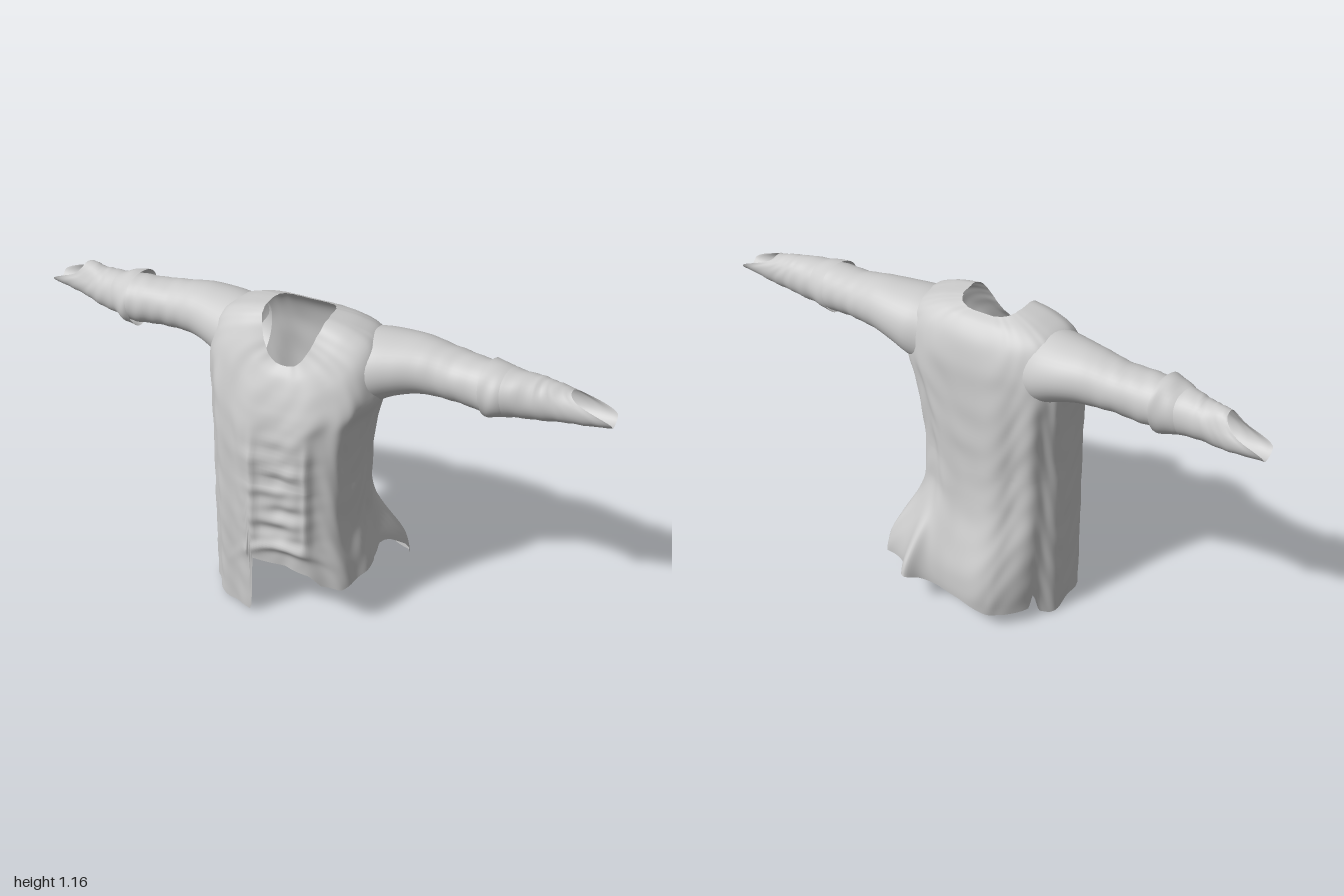
import * as THREE from 'three';

const { lerp, smoothstep, clamp } = THREE.MathUtils;
const bump = (v, centre, width) => Math.exp(-(((v - centre) / width) ** 2));
const power = (v, p) => Math.sign(v) * Math.abs(v) ** p;

// Smooth interpolation through a table of rows at a fractional row index
function sample(table, v) {
  const n = table.length - 1;
  const i = clamp(Math.floor(v), 0, n - 1), t = v - i;
  const row = (k) => table[clamp(k, 0, n)];
  return table[0].map((_, c) => {
    const a = row(i - 1)[c], b = row(i)[c], d = row(i + 1)[c], e = row(i + 2)[c];
    return b + 0.5 * t * (d - a + t * (2 * a - 5 * b + 4 * d - e + t * (3 * (b - d) + e - a)));
  });
}

// Straight interpolation in a list of [key, value] pairs
function along(pairs, key) {
  let i = 0;
  while (i < pairs.length - 2 && key > pairs[i + 1][0]) i++;
  const [k0, v0] = pairs[i], [k1, v1] = pairs[i + 1];
  return lerp(v0, v1, clamp((key - k0) / (k1 - k0), 0, 1));
}

const cloth = new THREE.MeshStandardMaterial({ color: 0xcccccc, side: THREE.DoubleSide, roughness: 0.9 });

// Closed loops of points joined into an open tube; skip() leaves holes
function loopSurface(name, rows, cols, point, skip = () => false) {
  const pos = [], index = [];
  for (let i = 0; i <= rows; i++)
    for (let j = 0; j < cols; j++) pos.push(...point(i / rows, (j / cols) * Math.PI * 2));
  for (let i = 0; i < rows; i++)
    for (let j = 0; j < cols; j++) {
      const k = (j + 1) % cols;
      const a = i * cols + j, b = i * cols + k, c = a + cols, d = b + cols;
      if (skip(pos[a * 3], pos[a * 3 + 1], pos[a * 3 + 2])) continue;
      index.push(a, b, c, b, d, c);
    }
  const geo = new THREE.BufferGeometry();
  geo.setAttribute('position', new THREE.Float32BufferAttribute(pos, 3));
  geo.setIndex(index);
  geo.computeVertexNormals();
  const mesh = new THREE.Mesh(geo, cloth);
  mesh.name = name;
  return mesh;
}

// Body rings from neck to hem: xRight, xLeft, zFront, zBack, yFront, ySide, yBack
const bodyRings = [
  [-0.12, 0.095, 0.178, -0.035, 1.01, 1.158, 1.14],
  [-0.20, 0.18, 0.205, -0.07, 0.98, 1.14, 1.12],
  [-0.27, 0.25, 0.228, -0.105, 0.935, 1.105, 1.07],
  [-0.305, 0.28, 0.246, -0.126, 0.89, 1.03, 1.0],
  [-0.315, 0.285, 0.26, -0.133, 0.85, 0.94, 0.92],
  [-0.308, 0.255, 0.272, -0.138, 0.79, 0.85, 0.82],
  [-0.303, 0.235, 0.28, -0.143, 0.7, 0.73, 0.71],
  [-0.303, 0.228, 0.28, -0.145, 0.6, 0.6, 0.6],
  [-0.308, 0.23, 0.282, -0.16, 0.4, 0.4, 0.4],
  [-0.315, 0.265, 0.275, -0.16, 0.2, 0.2, 0.2],
  [-0.32, 0.27, 0.265, -0.14, 0, 0, 0],
];

// Hem height by angle in degrees: 0 left side, 90 front, 180 right side, 270 back
const hemLine = [
  [0, 0.22], [40, 0.18], [56, 0.2], [64, 0.25], [80, 0.27], [100, 0.27], [103, 0.02], [125, 0.01], [150, 0.03],
  [180, 0.025], [203, 0.0], [215, 0.03], [219, 0.13], [223, 0.07], [250, 0.07], [290, 0.13],
  [302, 0.15], [318, 0.12], [333, 0.11], [341, 0.23], [350, 0.25], [360, 0.22],
];

function bodyPoint(t, angle) {
  const deg = THREE.MathUtils.radToDeg(angle);
  const cos = Math.cos(angle), sin = Math.sin(angle);
  let v = t * 2 * 7;
  if (t > 0.5) v = 7 + ((t - 0.5) * 2 * (0.6 - along(hemLine, deg))) / 0.2;
  const [xR, xL, zF, zB, yF, yS, yB] = sample(bodyRings, v);
  const y = yS + ((sin > 0 ? yF : yB) - yS) * sin * sin;
  // Squarer at the neck front and across the shoulder blades
  const square = sin > 0 ? lerp(0.74, 0.85, smoothstep(v, 0, 2)) : lerp(0.76, 0.62, smoothstep(y, 0.55, 0.9));
  const p = lerp(0.85, square, smoothstep(Math.abs(sin), 0, 0.4));
  let x = (xL + xR) / 2 + ((xL - xR) / 2) * power(cos, p);
  let z = (zF + zB) / 2 + ((zF - zB) / 2) * power(sin, p);

  // Back tail swings outwards below the waist
  const low = 1 - smoothstep(y, 0.1, 0.48);
  const tail = smoothstep(deg, 213, 248) * (1 - smoothstep(deg, 334, 346));
  z -= low * tail * (0.085 + 0.09 * bump(deg, 302, 10) + 0.03 * bump(deg, 333, 10));
  x += low * tail * 0.07 * smoothstep(deg, 308, 332);

  // Front bands, crumpled cloth between them and the rolled front hem
  const front = smoothstep(sin, 0.5, 0.9);
  const belly = smoothstep(y, 0.3, 0.42) * (1 - smoothstep(y, 0.68, 0.84));
  z += front * belly * 0.01 * (bump(x, -0.085, 0.014) + bump(x, 0.105, 0.014));
  const crumple = Math.sin(y * 58 + 9 * x) + 0.7 * Math.sin(y * 97 - 14 * x + 1);
  z += front * belly * bump(x, 0.01, 0.09) * 0.005 * crumple;
  z += front * 0.016 * bump(y, 0.36 - 3 * (x - 0.03) ** 2, 0.022) * bump(x, 0.03, 0.14);

  // Hanging folds and faint uneven wrinkles
  const hang = (1 - smoothstep(y, 0.85, 1.05)) * 0.005;
  const fold = hang * Math.sin(deg * 0.2 + 0.7 * Math.sin(y * 4)) +
    0.0015 * Math.sin(y * 41 + 5 * Math.sin(deg / 13)) * Math.sin(deg / 7 + y * 9);
  return [x + cos * fold, y, z + sin * fold];
}

// Sleeve sections from shoulder to wrist: x, yLow, yHigh, zBack, zFront
const sleeveRings = [
  [0.2, 0.86, 1.115, -0.106, 0.16],
  [0.25, 0.878, 1.12, -0.115, 0.152],
  [0.32, 0.915, 1.12, -0.112, 0.128],
  [0.4, 0.938, 1.118, -0.1, 0.102],
  [0.5, 0.943, 1.103, -0.085, 0.09],
  [0.6, 0.935, 1.097, -0.075, 0.095],
  [0.66, 0.935, 1.095, -0.068, 0.095],
  [0.74, 0.943, 1.087, -0.062, 0.075],
  [0.85, 0.955, 1.08, -0.055, 0.055],
  [1.0, 0.975, 1.065, -0.045, 0.04],
];

function sleevePoint(side, t, angle, flare = 0) {
  let [x, y0, y1, z0, z1] = sample(sleeveRings, t * (sleeveRings.length - 1));
  const up = Math.sin(angle), across = -side * Math.cos(angle);
  const crease = flare + 0.002 * Math.sin(x * 75 + 3 * across) * Math.sin(x * 31 + 2 * up) * smoothstep(x, 0.35, 0.5);
  let y = (y0 + y1) / 2 + ((y1 - y0) / 2 + crease) * up;
  let z = (z0 + z1) / 2 + ((z1 - z0) / 2 + crease) * across;
  // Slanted wrist opening: short on top, long underneath
  if (x > 0.75) x = 0.75 + (x - 0.75) * (1 - 0.55 * smoothstep(up, -0.6, 1));
  if (side < 0) {
    z -= 0.025 * smoothstep(x, 0.75, 0.95);
    y += 0.02 * smoothstep(x, 0.78, 0.86) * smoothstep(up, 0.3, 1);
  }
  return [side * x, y, z];
}

export function createModel() {
  const shirt = new THREE.Group();
  shirt.name = 'shirt';

  const armhole = (x, y, z) => Math.abs(x) > 0.2 && ((y - 1.01) / 0.08) ** 2 + ((z - 0.01) / 0.08) ** 2 < 1;
  shirt.add(loopSurface('body', 90, 200, bodyPoint, armhole));

  for (const side of [1, -1]) {
    const label = side > 0 ? 'left' : 'right';
    shirt.add(loopSurface(label + 'Sleeve', 60, 40, (t, a) => sleevePoint(side, t, a)));

    // Turned-up cuff, opening towards the shoulder
    const width = side > 0 ? 0.008 : 0.014;
    const start = side > 0 ? 0.56 : 0.62;
    shirt.add(loopSurface(label + 'Cuff', 8, 40, (t, a) => {
      const ripple = 0.003 * Math.sin(a * 3 + t * 5);
      return sleevePoint(side, start + 0.12 * t + 0.012 * Math.sin(a * 2), a, width * (1 - t * t) + ripple * (1 - t));
    }));
  }
  return shirt;
}
